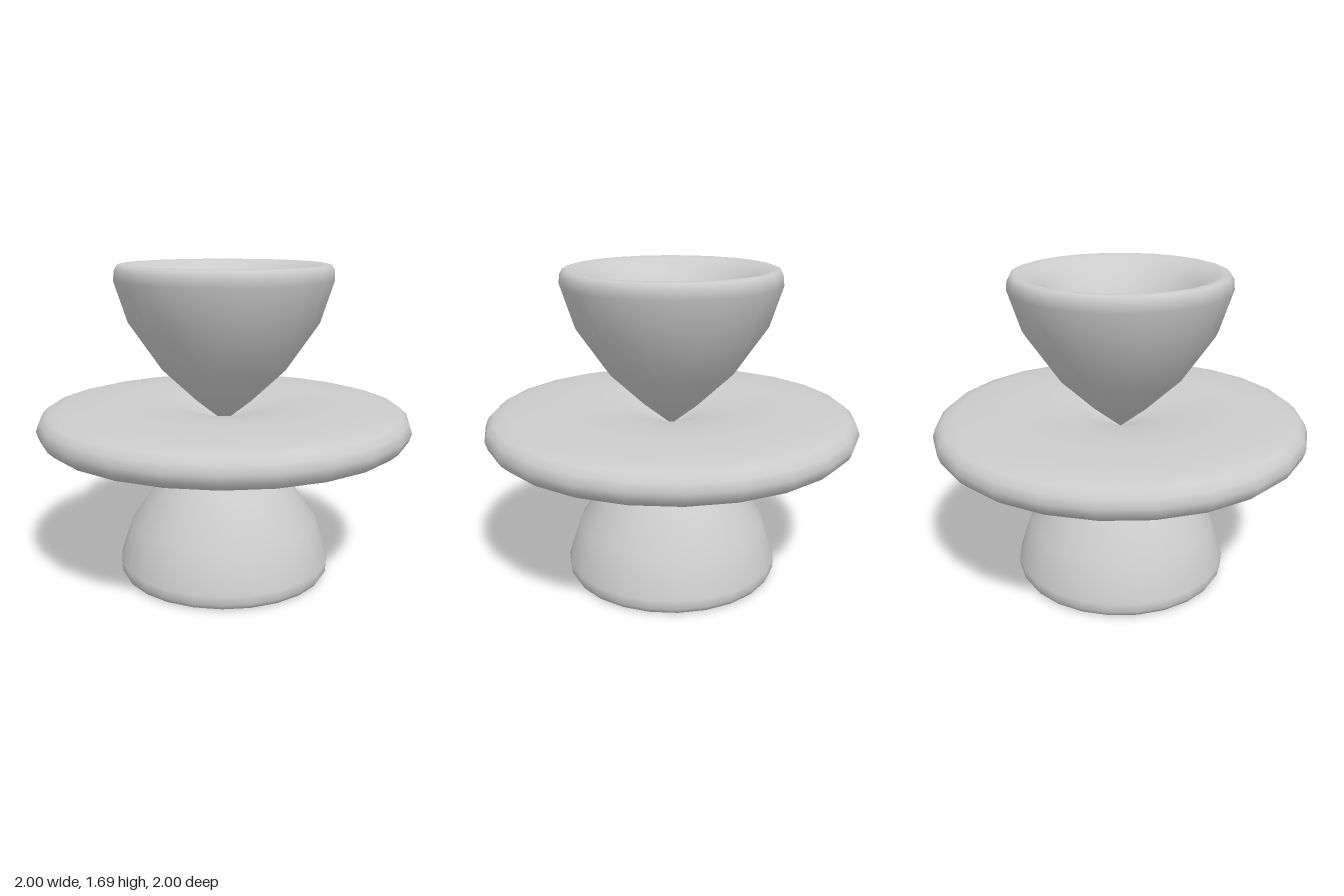
import * as THREE from 'three';

const SIDES = 24;
const HEIGHT = 1.69;
const MID = HEIGHT / 2;

export function createModel() {
  const group = new THREE.Group();
  const material = new THREE.MeshStandardMaterial({ color: 0xcccccc });

  // Revolve a [radius, height above the middle] profile
  const addLathe = (name, profile) => {
    const points = profile.map(([r, h]) => new THREE.Vector2(r, MID + h));
    const mesh = new THREE.Mesh(new THREE.LatheGeometry(points, SIDES), material);
    mesh.name = name;
    group.add(mesh);
  };

  // Turn a profile upside down about the middle, keeping faces outward
  const flip = (profile) => profile.map(([r, h]) => [r, -h]).reverse();

  // Flared cup: outer wall from the tip, rounded rim, funnel back to the axis
  const cup = [
    [0, 0], [0.15, 0.12], [0.335, 0.295], [0.51, 0.55], [0.578, 0.76],
    [0.575, 0.81], [0.56, 0.836], [0.54, 0.843], [0.5, 0.832],
    [0.39, 0.78], [0.27, 0.63], [0.13, 0.36], [0, 0.06],
  ];
  addLathe('upperCup', cup);
  addLathe('lowerCup', flip(cup));

  // Thin disc with a rounded edge, dished towards the axis on both faces
  const discTop = [
    [0.985, 0.045], [0.95, 0.077], [0.87, 0.098], [0.62, 0.118],
    [0.4, 0.105], [0.2, 0.075], [0.085, 0.035], [0, 0.002],
  ];
  addLathe('disc', [...flip(discTop), [1, 0], ...discTop]);

  return group;
}
